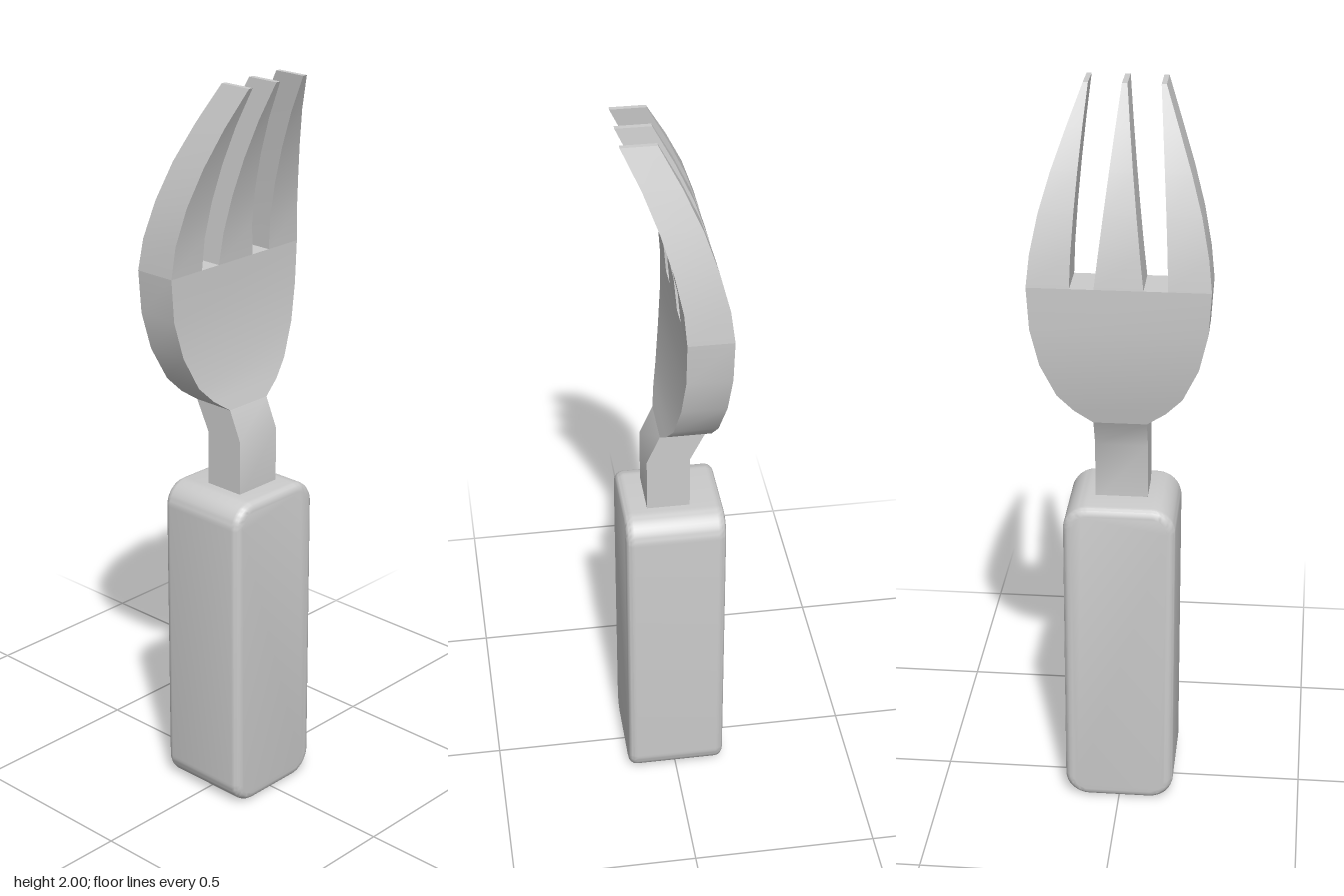
import * as THREE from 'three';
import { toCreasedNormals } from 'three/addons/utils/BufferGeometryUtils.js';

const material = new THREE.MeshStandardMaterial({ color: 0xcccccc });

// Profile of the head: height, half width, front z, back z
const NECK = [
  [0.88, 0.07, 0.07, -0.045], [1.05, 0.07, 0.07, -0.045], [1.13, 0.07, 0.035, -0.085],
];
const HEAD = [
  [1.13, 0.07, 0.035, -0.085], [1.165, 0.12, 0.025, -0.093], [1.21, 0.163, 0.013, -0.103],
  [1.3, 0.205, 0, -0.118], [1.4, 0.228, -0.009, -0.127], [1.515, 0.235, -0.01, -0.129],
  [1.6, 0.226, -0.003, -0.118], [1.7, 0.206, 0.018, -0.092], [1.8, 0.177, 0.048, -0.058],
  [1.9, 0.142, 0.086, -0.012], [2, 0.105, 0.133, 0.042],
];
const SLOT_ROW = 5;

// Lofts rectangular sections [y, x0, x1, zFront, zBack] and closes both ends
function loft(name, rows) {
  const pos = [], index = [];
  for (const [y, x0, x1, zf, zb] of rows) pos.push(x0, y, zf, x1, y, zf, x1, y, zb, x0, y, zb);
  for (let r = 0; r < rows.length - 1; r++) {
    for (let k = 0; k < 4; k++) {
      const a = r * 4 + k, b = r * 4 + (k + 1) % 4;
      index.push(a, b, b + 4, a, b + 4, a + 4);
    }
  }
  const t = (rows.length - 1) * 4;
  index.push(0, 3, 2, 0, 2, 1, t, t + 1, t + 2, t, t + 2, t + 3);
  const geo = new THREE.BufferGeometry();
  geo.setAttribute('position', new THREE.Float32BufferAttribute(pos, 3));
  geo.setIndex(index);
  const mesh = new THREE.Mesh(toCreasedNormals(geo, 0.7), material);
  mesh.name = name;
  return mesh;
}

// Handle: rounded rectangle with softened front and back edges
function handle() {
  const bevel = 0.022, w = 0.15 - bevel, y0 = bevel, y1 = 0.9 - bevel, r = 0.045;
  const s = new THREE.Shape();
  s.absarc(w - r, y0 + r, r, -Math.PI / 2, 0);
  s.absarc(w - r, y1 - r, r, 0, Math.PI / 2);
  s.absarc(-w + r, y1 - r, r, Math.PI / 2, Math.PI);
  s.absarc(-w + r, y0 + r, r, Math.PI, Math.PI * 1.5);
  const depth = 0.27 - 2 * bevel;
  const geo = new THREE.ExtrudeGeometry(s, {
    depth, bevelThickness: bevel, bevelSize: bevel, bevelSegments: 4, curveSegments: 6,
  });
  geo.translate(0, 0, -depth / 2);
  const mesh = new THREE.Mesh(toCreasedNormals(geo, 0.7), material);
  mesh.name = 'handle';
  return mesh;
}

export function createModel() {
  const group = new THREE.Group();
  group.name = 'fork';
  const full = ([y, w, zf, zb]) => [y, -w, w, zf, zb];
  group.add(handle(), loft('neck', NECK.map(full)));
  group.add(loft('bowl', HEAD.slice(0, SLOT_ROW + 1).map(full)));

  // Tines taper from the slot bottoms to the tips
  const tips = HEAD.slice(SLOT_ROW);
  const along = (y) => (y - 1.515) / 0.485;
  group.add(loft('middleTine', tips.map(([y, , zf, zb]) => {
    const w = THREE.MathUtils.lerp(0.063, 0.007, along(y));
    return [y, -w, w, zf, zb];
  })));
  for (const side of [1, -1]) {
    group.add(loft(side > 0 ? 'leftTine' : 'rightTine', tips.map(([y, w, zf, zb]) => {
      const inner = 0.125 - 0.033 * along(y) ** 1.4;
      return side > 0 ? [y, inner, w, zf, zb] : [y, -w, -inner, zf, zb];
    })));
  }
  return group;
}
